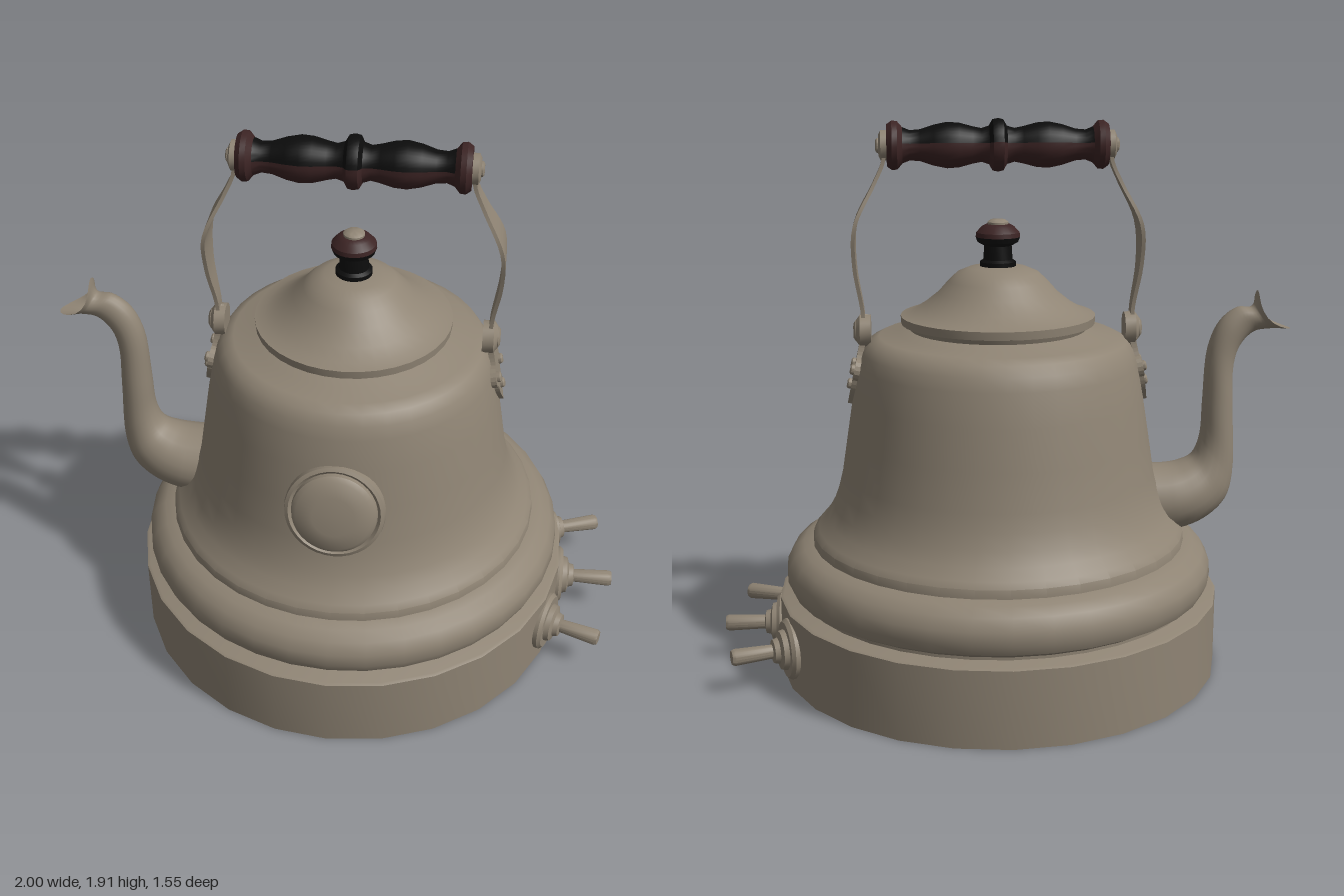
import * as THREE from 'three';
import { toCreasedNormals } from 'three/addons/utils/BufferGeometryUtils.js';

const metal = new THREE.MeshStandardMaterial({ color: 0x8f8474 });
metal.name = 'warm grey metal';
const metalOpen = new THREE.MeshStandardMaterial({ color: 0x8f8474, side: THREE.DoubleSide });
metalOpen.name = 'warm grey metal sheet';
const redWood = new THREE.MeshStandardMaterial({ color: 0x3c2424 });
redWood.name = 'dark red wood';
const blackWood = new THREE.MeshStandardMaterial({ color: 0x0c0c0c });
blackWood.name = 'black wood';

const CX = 0.025; // axis of the kettle body
const vec = (list) => list.map(([x, y]) => new THREE.Vector2(x, y));

function add(parent, name, geometry, material, x = 0, y = 0, z = 0) {
  const mesh = new THREE.Mesh(geometry, material);
  mesh.name = name;
  mesh.position.set(x, y, z);
  parent.add(mesh);
  return mesh;
}

// Turned shape around y, from [radius, height] points listed bottom to top
const turned = (points, segments = 32, start = 0, sweep = Math.PI * 2) =>
  toCreasedNormals(new THREE.LatheGeometry(vec(points), segments, start, sweep), 0.62);

// Spout: rings spanned between an outer and an inner edge line, with a half width in z
function spoutGeometry() {
  const sections = [ // outer x, y, inner x, y, half width
    [-0.45, 0.44, -0.45, 0.7, 0.13], [-0.6, 0.46, -0.57, 0.7, 0.13],
    [-0.71, 0.5, -0.62, 0.71, 0.115], [-0.785, 0.57, -0.665, 0.735, 0.09],
    [-0.81, 0.66, -0.69, 0.8, 0.07], [-0.805, 0.9, -0.697, 0.93, 0.06],
    [-0.803, 1.06, -0.71, 1.12, 0.05], [-0.825, 1.13, -0.75, 1.215, 0.045],
    [-0.87, 1.175, -0.81, 1.262, 0.04], [-0.92, 1.185, -0.862, 1.265, 0.046],
    [-1.0, 1.185, -0.88, 1.32, 0.062],
  ];
  const outer = new THREE.CatmullRomCurve3(sections.map((s) => new THREE.Vector3(s[0], s[1], s[4])));
  const inner = new THREE.CatmullRomCurve3(sections.map((s) => new THREE.Vector3(s[2], s[3], s[4])));
  const rows = 50, cols = 20, pos = [], index = [];
  for (let i = 0; i <= rows; i++) {
    const t = i / rows, a = outer.getPoint(t), b = inner.getPoint(t);
    const mouth = Math.max(0, (t - 0.9) / 0.1);
    for (let j = 0; j < cols; j++) {
      const ang = (j / cols) * Math.PI * 2, k = 0.5 - 0.5 * Math.cos(ang);
      const notch = 0.035 * mouth * Math.sin(ang) ** 2; // cut back the sides of the lip
      pos.push(a.x + (b.x - a.x) * k + notch, a.y + (b.y - a.y) * k - notch * 0.6, a.z * Math.sin(ang));
      if (i < rows) {
        const p = i * cols + j, q = i * cols + ((j + 1) % cols);
        index.push(p, q, p + cols, q, q + cols, p + cols);
      }
    }
  }
  const g = new THREE.BufferGeometry();
  g.setAttribute('position', new THREE.Float32BufferAttribute(pos, 3));
  g.setIndex(index);
  g.computeVertexNormals();
  return g;
}

// Bowed handle strap: a box bent along a curve, with varying width
function strapGeometry() {
  const path = new THREE.SplineCurve(vec([[0.463, 1.17], [0.465, 1.27], [0.488, 1.42], [0.483, 1.56], [0.42, 1.69], [0.385, 1.77], [0.382, 1.84]]));
  const width = new THREE.SplineCurve(vec([[0, 0.03], [1, 0.026], [2, 0.05], [3, 0.074], [4, 0.042], [5, 0.03], [6, 0.035]]));
  const g = new THREE.BoxGeometry(0.013, 1, 1, 1, 30, 1);
  const p = g.attributes.position;
  for (let i = 0; i < p.count; i++) {
    const t = p.getY(i) + 0.5, c = path.getPoint(t);
    p.setXYZ(i, c.x + p.getX(i), c.y, p.getZ(i) * 2 * width.getPoint(t).y);
  }
  return toCreasedNormals(g, 0.6);
}

// Trefoil side plate, drawn in z and y below the pivot
function bracketGeometry() {
  const s = new THREE.Shape();
  s.moveTo(0, 0.05);
  s.lineTo(0.03, 0.03);
  s.quadraticCurveTo(0.02, -0.06, 0.04, -0.1);
  s.bezierCurveTo(0.1, -0.09, 0.11, -0.17, 0.055, -0.175);
  s.bezierCurveTo(0.05, -0.22, 0.02, -0.24, 0, -0.27);
  s.bezierCurveTo(-0.02, -0.24, -0.05, -0.22, -0.055, -0.175);
  s.bezierCurveTo(-0.11, -0.17, -0.1, -0.09, -0.04, -0.1);
  s.quadraticCurveTo(-0.02, -0.06, -0.03, 0.03);
  const g = new THREE.ExtrudeGeometry(s, { depth: 0.02, bevelEnabled: false, curveSegments: 8 });
  return g.rotateY(Math.PI / 2);
}

const disc = (radius, length) =>
  turned([[0, -length / 2], [radius, -length / 2], [radius, length * 0.25], [radius * 0.7, length / 2], [0, length / 2]], 20).rotateZ(-Math.PI / 2);

export function createModel() {
  const model = new THREE.Group();
  model.name = 'kettle';
  const kettle = new THREE.Group();
  kettle.name = 'kettleBody';
  kettle.position.x = CX;
  model.add(kettle);

  // Base, body and lid
  add(kettle, 'base', turned([[0, 0], [0.775, 0], [0.775, 0.265], [0.765, 0.27], [0, 0.27]], 26), metal);
  add(kettle, 'body', turned([
    [0.7, 0.26], [0.7, 0.28], [0.735, 0.3], [0.75, 0.335], [0.747, 0.38], [0.725, 0.42], [0.69, 0.445],
    [0.655, 0.455], [0.652, 0.485], [0.635, 0.505], [0.605, 0.54], [0.58, 0.585], [0.56, 0.64], [0.545, 0.7],
    [0.525, 0.83], [0.503, 0.97], [0.482, 1.08], [0.468, 1.125], [0.445, 1.16], [0.41, 1.178], [0.34, 1.185],
    [0.315, 1.2], [0, 1.2],
  ], 36), metal);
  add(kettle, 'lid', turned([
    [0.3, 1.19], [0.31, 1.215], [0.333, 1.22], [0.335, 1.248], [0.3, 1.258], [0.255, 1.285], [0.205, 1.325],
    [0.17, 1.365], [0.14, 1.393], [0.1, 1.41], [0.05, 1.417], [0, 1.418],
  ], 36), metal);

  // Lid knob
  add(kettle, 'knobStem', turned([[0, 1.41], [0.062, 1.41], [0.062, 1.43], [0.05, 1.438], [0.047, 1.485], [0.07, 1.498], [0.076, 1.515]], 24), blackWood);
  add(kettle, 'knobHead', turned([[0.076, 1.515], [0.074, 1.53], [0.055, 1.55], [0.04, 1.558], [0, 1.558]], 24), redWood);
  add(kettle, 'knobCap', turned([[0.036, 1.55], [0.036, 1.565], [0.025, 1.573], [0, 1.575]], 20), metal);

  // Spout
  add(model, 'spout', spoutGeometry(), metalOpen);

  // Round front plate with a raised rim
  const plate = turned([
    [0, -0.08], [0.155, -0.08], [0.168, -0.01], [0.165, 0.008], [0.153, 0.014], [0.143, 0.005],
    [0.14, 0.02], [0.125, 0.034], [0.07, 0.043], [0, 0.045],
  ], 36).rotateX(Math.PI / 2);
  add(kettle, 'frontPlate', plate, metal, 0, 0.828, 0.532).rotation.x = -0.2;

  // Control switches on the base
  const switchShape = turned([
    [0, 0.72], [0.105, 0.72], [0.105, 0.778], [0.095, 0.79], [0.07, 0.79], [0.066, 0.808], [0.045, 0.815],
    [0.04, 0.832], [0.024, 0.836], [0.029, 0.965], [0.024, 0.975], [0, 0.975],
  ], 20).rotateZ(-Math.PI / 2);
  [-1, 0, 1].forEach((i) => {
    add(kettle, 'switch', switchShape, metal, 0, 0.137, 0).rotation.y = i * 0.33;
  });

  // Straps, pivots and riveted side plates
  for (const turn of [0, Math.PI]) {
    const side = new THREE.Group();
    side.name = 'handleSide';
    side.rotation.y = turn;
    kettle.add(side);
    add(side, 'strap', strapGeometry(), metal);
    add(side, 'pivot', disc(0.055, 0.05), metal, 0.462, 1.195, 0);
    add(side, 'pivotPin', disc(0.036, 0.03), metal, 0.482, 1.195, 0);
    add(side, 'handleEndCap', disc(0.05, 0.03), metal, 0.385, 1.823, 0);
    add(side, 'handleEndPin', disc(0.025, 0.02), metal, 0.4, 1.823, 0);
    const bracket = new THREE.Group();
    bracket.name = 'bracket';
    bracket.position.set(0.447, 1.2, 0);
    bracket.rotation.z = 0.21;
    side.add(bracket);
    add(bracket, 'bracketPlate', bracketGeometry(), metal);
    [[0.055, -0.138], [-0.055, -0.138], [0, -0.2]].forEach(([z, y]) =>
      add(bracket, 'rivet', disc(0.018, 0.02), metal, 0.025, y, z));
  }

  // Turned wooden grip: black along the top, red below and on the end flanges
  const half = [[0.085, 0.018], [0.064, 0.03], [0.056, 0.055], [0.062, 0.085], [0.074, 0.13], [0.077, 0.17],
    [0.068, 0.215], [0.053, 0.26], [0.05, 0.295], [0.06, 0.32]];
  const grip = [...half.map(([r, h]) => [r, -h]).reverse(), [0.089, 0], ...half];
  const top = Math.PI * 1.5, arc = 1.4;
  add(kettle, 'gripTop', turned(grip, 16, top - arc, arc * 2).rotateZ(-Math.PI / 2), blackWood, 0, 1.823, 0);
  add(kettle, 'gripUnderside', turned(grip, 18, top + arc, Math.PI * 2 - arc * 2).rotateZ(-Math.PI / 2), redWood, 0, 1.823, 0);
  const flange = turned([[0.06, 0.32], [0.08, 0.337], [0.082, 0.355], [0.07, 0.372], [0, 0.374]], 28).rotateZ(-Math.PI / 2);
  for (const turn of [0, Math.PI]) add(kettle, 'gripFlange', flange, redWood, 0, 1.823, 0).rotation.y = turn;

  return model;
}
